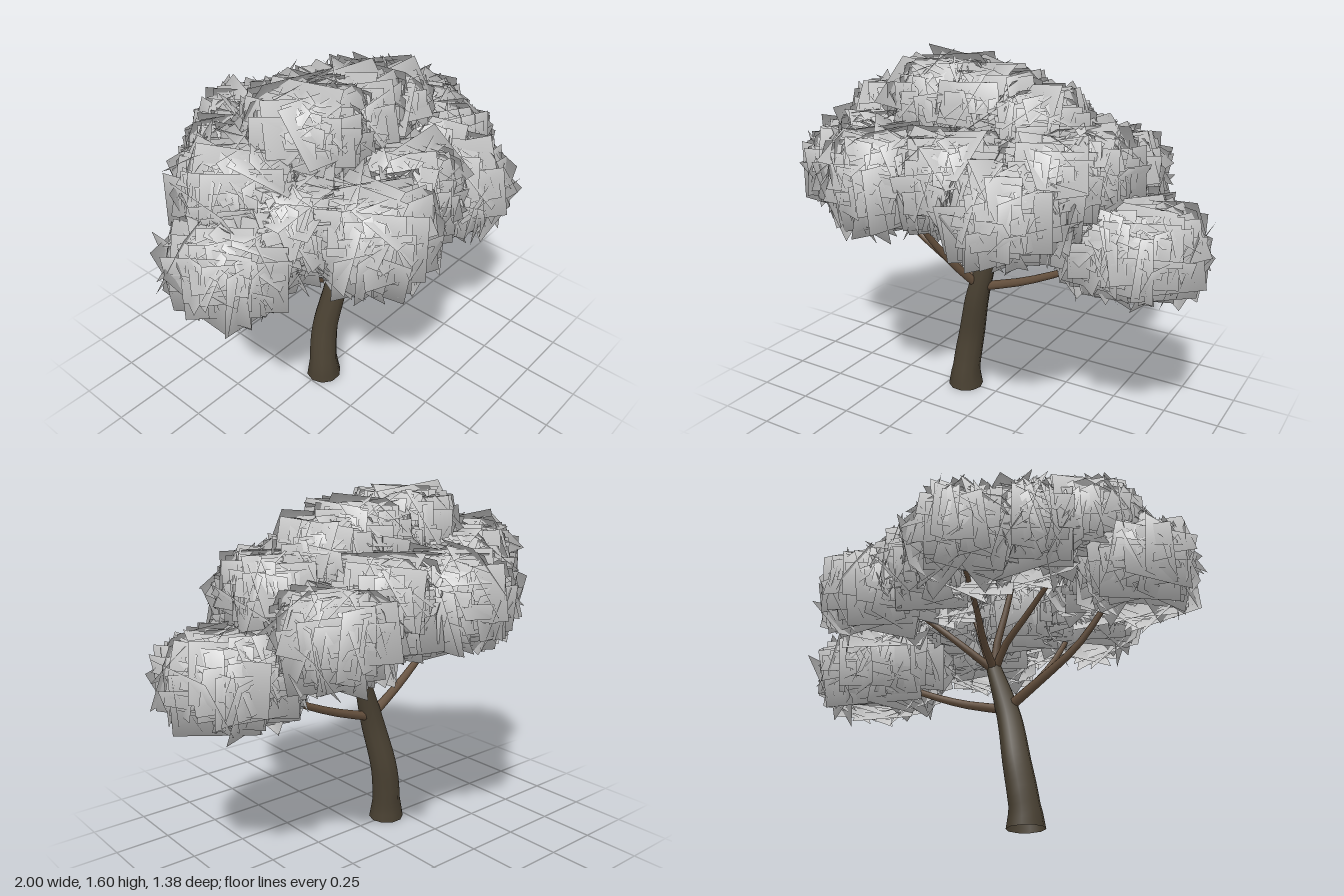
import * as THREE from 'three';

// Small seeded generator
function makeRandom(seed) {
  let s = seed;
  return () => {
    s = (s * 1664525 + 1013904223) % 4294967296;
    return s / 4294967296;
  };
}

const V = (p) => new THREE.Vector3(...p);

// Tube along a smooth path whose radius follows a list of values
function taperedTube(points, radii, sides, segments, material, name) {
  const curve = new THREE.CatmullRomCurve3(points.map(V));
  const geometry = new THREE.TubeGeometry(curve, segments, 1, sides, false);
  const pos = geometry.attributes.position;
  const v = new THREE.Vector3();
  for (let i = 0; i <= segments; i++) {
    const t = i / segments;
    const centre = curve.getPointAt(t);
    const f = t * (radii.length - 1);
    const k = Math.min(Math.floor(f), radii.length - 2);
    const radius = THREE.MathUtils.lerp(radii[k], radii[k + 1], f - k);
    for (let j = 0; j <= sides; j++) {
      const n = i * (sides + 1) + j;
      v.fromBufferAttribute(pos, n).sub(centre).multiplyScalar(radius).add(centre);
      pos.setXYZ(n, v.x, v.y, v.z);
    }
  }
  const mesh = new THREE.Mesh(geometry, material);
  mesh.name = name;
  return mesh;
}

// Dome of large flat leaf cards, open underneath, shaded as one round mass
function leafClump(centre, reach, height, count, material, random) {
  const positions = [], normals = [], index = [];
  const rx = reach - 0.075, ry = height - 0.05;
  const card = new THREE.Object3D();
  const v = new THREE.Vector3();
  const jitter = (a) => (random() - 0.5) * 2 * a;
  for (let i = 0; i < count; i++) {
    // Even spiral spread of directions, leaving out the underside
    const y = 1 - (1.65 * (i + 0.5)) / count;
    const ring = Math.sqrt(1 - y * y);
    const angle = i * 2.39996 + jitter(0.25);
    const dir = new THREE.Vector3(ring * Math.cos(angle), y, ring * Math.sin(angle));
    const depth = 0.82 + random() * 0.2;
    card.position.set(dir.x * rx, dir.y * ry, dir.z * rx).multiplyScalar(depth);
    card.lookAt(card.position.clone().add(dir));
    card.rotateX(jitter(0.28));
    card.rotateY(jitter(0.28));
    card.rotateZ(jitter(0.12));
    card.updateMatrix();
    const w = 0.13 + random() * 0.05, h = 0.1 + random() * 0.04;
    const start = positions.length / 3;
    for (const [sx, sy] of [[-1, -1], [1, -1], [1, 1], [-1, 1]]) {
      v.set(sx * w, sy * h, 0).applyMatrix4(card.matrix);
      positions.push(v.x, v.y, v.z);
      v.normalize();
      normals.push(v.x, v.y, v.z);
    }
    index.push(start, start + 1, start + 2, start, start + 2, start + 3);
  }
  const geometry = new THREE.BufferGeometry();
  geometry.setAttribute('position', new THREE.Float32BufferAttribute(positions, 3));
  geometry.setAttribute('normal', new THREE.Float32BufferAttribute(normals, 3));
  geometry.setIndex(index);
  const mesh = new THREE.Mesh(geometry, material);
  mesh.position.set(...centre);
  return mesh;
}

export function createModel() {
  const model = new THREE.Group();
  model.name = 'tree';
  const bark = new THREE.MeshStandardMaterial({ color: 0x4c4334, side: THREE.DoubleSide });
  const branchBark = new THREE.MeshStandardMaterial({ color: 0x65503d, side: THREE.DoubleSide });
  const leaves = new THREE.MeshStandardMaterial({ color: 0xcccccc, side: THREE.DoubleSide });

  // Leaning trunk with a flared foot
  model.add(taperedTube(
    [[-0.165, 0, 0.005], [-0.165, 0.06, 0.004], [-0.155, 0.16, -0.004], [-0.135, 0.28, -0.008],
      [-0.085, 0.5, 0.015], [-0.01, 0.75, 0.01]],
    [0.082, 0.066, 0.064, 0.061, 0.058, 0.055, 0.05, 0.042, 0.034], 10, 24, bark, 'trunk'));

  // Branches: path, then start and end radius
  const fork = [-0.015, 0.73, 0.01];
  const branches = [
    [[[-0.08, 0.54, 0.01], [-0.24, 0.64, 0.02], [-0.42, 0.77, 0.04], [-0.6, 0.98, 0.05]], 0.024, 0.011],
    [[[-0.08, 0.55, 0.03], [-0.14, 0.67, 0.13], [-0.2, 0.82, 0.23], [-0.25, 1.02, 0.34]], 0.021, 0.01],
    [[[-0.05, 0.54, 0.01], [0.16, 0.61, 0.01], [0.4, 0.72, 0], [0.6, 0.84, 0]], 0.022, 0.011],
    [[fork, [-0.09, 0.83, -0.02], [-0.2, 0.92, -0.04], [-0.4, 1.1, -0.07]], 0.019, 0.01],
    [[fork, [-0.03, 0.84, 0], [-0.08, 1.0, 0], [-0.15, 1.25, 0]], 0.021, 0.01],
    [[fork, [0.03, 0.83, 0.01], [0.07, 0.96, 0.01], [0.15, 1.18, 0]], 0.021, 0.01],
    [[fork, [0.06, 0.82, 0.1], [0.13, 0.92, 0.2], [0.22, 1.03, 0.32]], 0.019, 0.01],
    [[fork, [0.07, 0.82, -0.08], [0.17, 0.92, -0.16], [0.32, 1.06, -0.27]], 0.019, 0.01],
    [[fork, [-0.03, 0.82, -0.1], [-0.06, 0.92, -0.2], [-0.1, 1.06, -0.36]], 0.019, 0.01],
  ];
  const limbs = new THREE.Group();
  limbs.name = 'branches';
  branches.forEach(([path, r0, r1], i) =>
    limbs.add(taperedTube(path, [r0, r1], 7, 8, branchBark, `branch${i + 1}`)));
  model.add(limbs);

  // Foliage clumps: name, centre, sideways reach, half height
  const clumps = [
    ['rightClump', [-0.71, 1.04, 0.05], 0.26, 0.19],
    ['rightInnerClump', [-0.48, 1.13, 0.14], 0.24, 0.2],
    ['frontRightClump', [-0.3, 1.11, 0.39], 0.27, 0.21],
    ['frontLeftClump', [0.25, 1.05, 0.35], 0.27, 0.2],
    ['frontMiddleClump', [-0.02, 1.12, 0.3], 0.27, 0.21],
    ['leftInnerClump', [0.34, 1.13, 0.17], 0.26, 0.2],
    ['lowLeftClump', [0.68, 0.87, 0.01], 0.29, 0.19],
    ['lowLeftInnerClump', [0.58, 0.88, 0.01], 0.28, 0.19],
    ['crownClump', [-0.24, 1.36, 0], 0.27, 0.21],
    ['crownMiddleClump', [-0.02, 1.34, 0], 0.27, 0.2],
    ['crownLeftClump', [0.18, 1.28, 0], 0.27, 0.2],
    ['backClump', [-0.14, 1.14, -0.41], 0.27, 0.23],
    ['backRightClump', [-0.36, 1.18, -0.24], 0.25, 0.21],
    ['backMiddleClump', [0.12, 1.13, -0.29], 0.27, 0.22],
    ['backLeftClump', [0.38, 1.06, -0.32], 0.27, 0.19],
    ['upperRightClump', [-0.53, 1.23, -0.07], 0.28, 0.19],
    ['upperLeftClump', [0.4, 1.16, 0.02], 0.26, 0.19],
  ];
  const foliage = new THREE.Group();
  foliage.name = 'foliage';
  const random = makeRandom(7);
  for (const [name, centre, reach, height] of clumps) {
    const clump = leafClump(centre, reach, height, 110, leaves, random);
    clump.name = name;
    foliage.add(clump);
  }
  model.add(foliage);
  return model;
}
